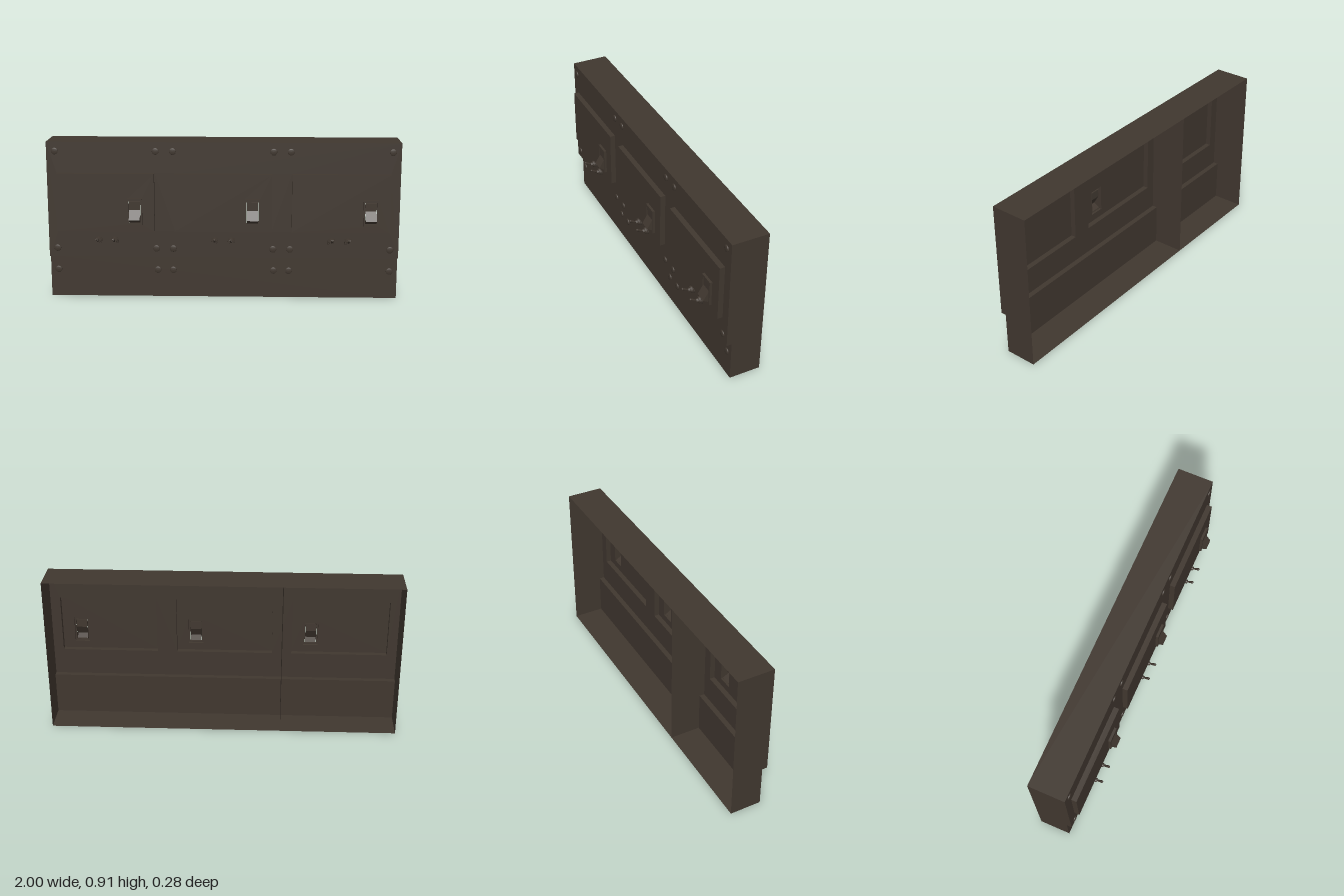
import * as THREE from 'three';

const casing = new THREE.MeshStandardMaterial({ color: 0x40372f, side: THREE.DoubleSide });
casing.name = 'dark brown';

const BACK = -0.14, FRONT = 0.07, LOWER = 0.04, STEP = 0.245, TOP = 0.91;

function add(parent, name, geometry, x = 0, y = 0, z = 0) {
  const mesh = new THREE.Mesh(geometry, casing);
  mesh.name = name;
  mesh.position.set(x, y, z);
  parent.add(mesh);
  return mesh;
}

// Open folded sheet: a polyline swept along one vector
function sheet(points, sweep) {
  const pos = [];
  for (let i = 0; i < points.length - 1; i++) {
    const a = points[i], b = points[i + 1];
    const c = b.map((v, k) => v + sweep[k]), d = a.map((v, k) => v + sweep[k]);
    pos.push(...a, ...b, ...c, ...a, ...c, ...d);
  }
  const g = new THREE.BufferGeometry();
  g.setAttribute('position', new THREE.Float32BufferAttribute(pos, 3));
  g.computeVertexNormals();
  return g;
}

const corners = ([x0, x1, y0, y1]) => [[x0, y0], [x1, y0], [x1, y1], [x0, y1]];
const toShape = pts => new THREE.Shape(pts.map(p => new THREE.Vector2(...p)));

// Flat rectangle facing +z with rectangular openings
function plate(rect, holes = []) {
  const s = toShape(corners(rect));
  s.holes = holes.map(h => toShape(corners(h)));
  return new THREE.ShapeGeometry(s);
}

// Four walls around a rectangle
function sleeve(rect, z0, z1) {
  const c = corners(rect);
  return sheet([...c, c[0]].map(([x, y]) => [x, y, z0]), [0, 0, z1 - z0]);
}

// Flat cross-section given as (z, y), standing across x
const section = pts => new THREE.ShapeGeometry(toShape(pts)).rotateY(-Math.PI / 2);

function addToggle(parent, x, y) {
  const g = new THREE.Group();
  g.name = 'toggleSwitch';
  g.position.set(x, y, FRONT);
  parent.add(g);
  const ring = (name, r0, r1, h, z, n) =>
    add(g, name, new THREE.CylinderGeometry(r1, r0, h, n).rotateX(Math.PI / 2), 0, 0, z + h / 2);
  ring('toggleNut', 0.025, 0.025, 0.009, 0, 6);
  ring('toggleCollar', 0.02, 0.019, 0.011, 0.009, 12);
  ring('toggleBush', 0.013, 0.011, 0.012, 0.02, 12);
  // Lever tilted upwards
  const lever = add(g, 'toggleLever', new THREE.CylinderGeometry(0.0075, 0.0045, 0.046, 10), 0, 0.01, 0.044);
  lever.rotation.x = Math.PI / 2 - 0.5;
  const tip = add(g, 'toggleTip', new THREE.SphereGeometry(0.0075, 10, 6), 0, 0.021, 0.064);
  tip.scale.setScalar(0.95);
}

export function createModel() {
  const model = new THREE.Group();
  model.name = 'switchPanel';
  const centres = [-0.667, 0, 0.667];
  const panelRect = cx => [cx - 0.277, cx + 0.277, 0.4, 0.733];

  // Open-backed case
  add(model, 'caseTop', sheet([[-1, TOP, BACK], [-1, TOP, FRONT]], [2, 0, 0]));
  add(model, 'upperFront', plate([-1, 1, STEP, TOP], centres.map(panelRect)), 0, 0, FRONT);
  add(model, 'lowerFrontAndBase', sheet(
    [[-1, STEP, FRONT], [-1, STEP, LOWER], [-1, 0, LOWER], [-1, 0, BACK]], [2, 0, 0]));
  const profile = [[BACK, 0], [LOWER, 0], [LOWER, STEP], [FRONT, STEP], [FRONT, TOP], [BACK, TOP]];
  for (const [name, x] of [['rightWall', -1], ['divider', -0.333], ['leftWall', 1]]) {
    add(model, name, section(profile), x);
  }

  const screw = new THREE.LatheGeometry([
    [0.0195, 0], [0.0195, 0.004], [0.018, 0.006], [0.011, 0.0075], [0, 0.008],
  ].map(p => new THREE.Vector2(...p)), 16).rotateX(Math.PI / 2);

  for (const cx of centres) {
    const unit = new THREE.Group();
    unit.name = 'switchUnit';
    model.add(unit);

    // Raised panel with an opening for the rocker
    const rx = cx + 0.167;
    const bezel = [rx - 0.042, rx + 0.042, 0.442, 0.593];
    const opening = [rx - 0.033, rx + 0.033, 0.455, 0.578];
    add(unit, 'raisedPanelEdge', sleeve(panelRect(cx), FRONT, 0.1));
    add(unit, 'raisedPanel', plate(panelRect(cx), [bezel]), 0, 0, 0.1);

    // Rocker switch in its bezel
    add(unit, 'bezelEdge', sleeve(bezel, 0.1, 0.114));
    add(unit, 'bezelFace', plate(bezel, [opening]), 0, 0, 0.114);
    add(unit, 'bezelOpening', sleeve(opening, 0.106, 0.114));
    const rocker = [[0.106, 0.578], [0.112, 0.575], [0.111, 0.528], [0.142, 0.475], [0.112, 0.456], [0.106, 0.455]];
    add(unit, 'rocker', sheet(rocker.map(([z, y]) => [rx - 0.031, y, z]), [0.062, 0, 0]));
    for (const s of [-1, 1]) add(unit, 'rockerSide', section(rocker), rx + s * 0.031);

    // Pair of toggles below the panel
    for (const dx of [-0.048, 0.046]) addToggle(unit, cx + dx, 0.34);

    // Screws
    for (const s of [-1, 1]) {
      add(unit, 'screw', screw, cx + s * 0.285, 0.858, FRONT);
      add(unit, 'screw', screw, cx + s * 0.285, 0.295, FRONT);
      add(unit, 'screw', screw, cx + s * 0.289, 0.16, LOWER);
    }
  }
  return model;
}
